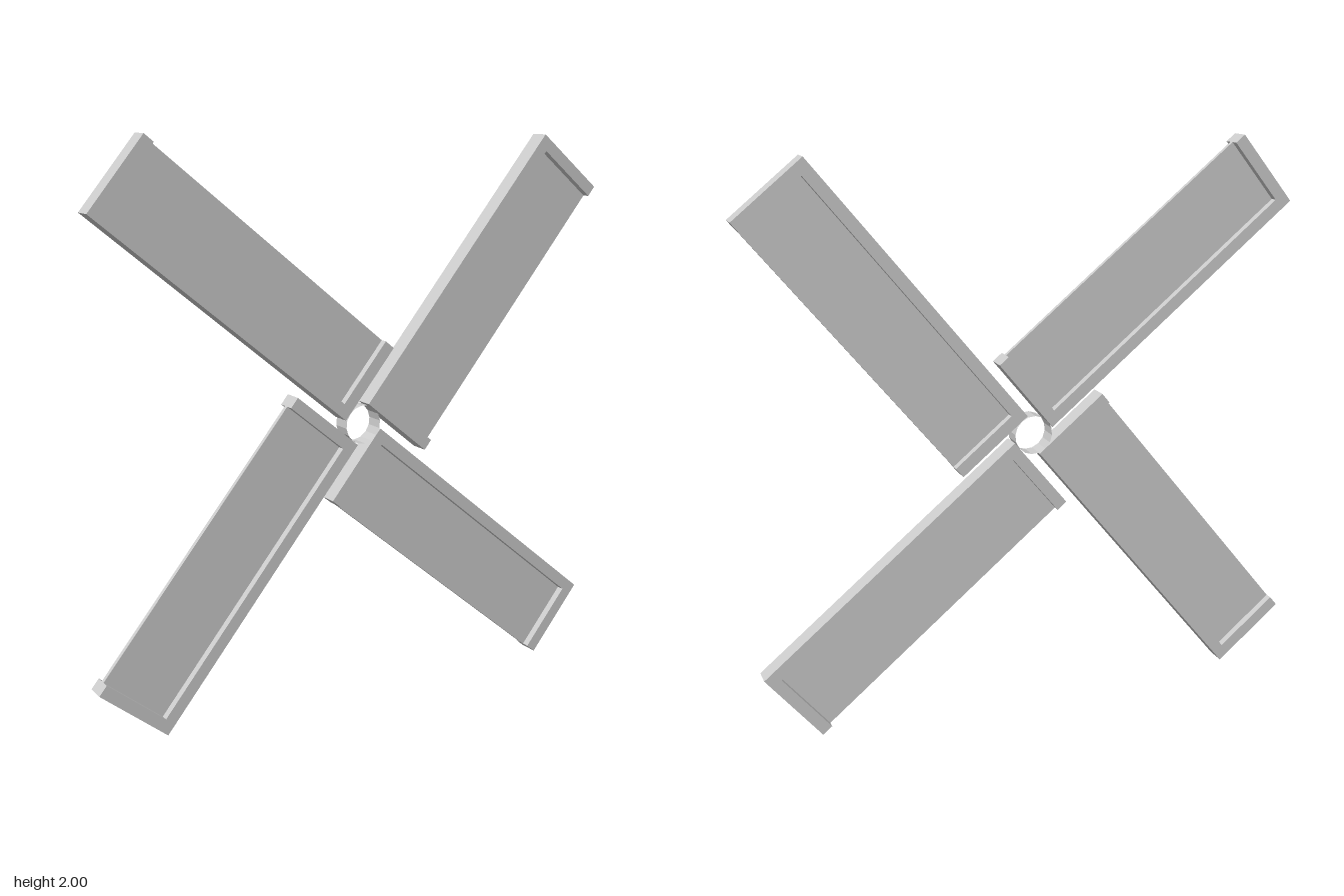
import * as THREE from 'three';

const DEPTH = 0.07;            // rim and hub depth
const RIM = 0.042;             // rim width
const U0 = 0.068, U1 = 1.237;  // sail extent along its arm
const V0 = -0.277, V1 = 0.027; // sail extent across its arm
const CENTER_Y = 1.005;

const material = new THREE.MeshStandardMaterial({ color: 0xcccccc, flatShading: true });
const thinMaterial = new THREE.MeshStandardMaterial({ color: 0xcccccc, flatShading: true, side: THREE.DoubleSide });

// Box given by its extents in the sail plane
function plate(name, u0, u1, v0, v1, depth) {
  const mesh = new THREE.Mesh(new THREE.BoxGeometry(u1 - u0, v1 - v0, depth), material);
  mesh.position.set((u0 + u1) / 2, (v0 + v1) / 2, 0);
  mesh.name = name;
  return mesh;
}

// Thin panel with a rim on three sides; the trailing edge stays open
function createSail() {
  const sail = new THREE.Group();
  sail.name = 'sail';
  sail.add(
    plate('panel', U0 + RIM, U1 - RIM, V0, V1 - RIM, 0.016),
    plate('innerRim', U0, U0 + RIM, V0, V1, DEPTH),
    plate('outerRim', U1 - RIM, U1, V0, V1, DEPTH),
    plate('longRim', U0 + RIM, U1 - RIM, V1 - RIM, V1, DEPTH)
  );
  return sail;
}

export function createModel() {
  const model = new THREE.Group();
  model.name = 'windmillSails';

  const rotor = new THREE.Group();
  rotor.name = 'rotor';
  rotor.position.y = CENTER_Y;
  rotor.rotation.z = THREE.MathUtils.degToRad(50.6);
  model.add(rotor);

  // Four sails around the hub
  for (let i = 0; i < 4; i++) {
    const sail = createSail();
    sail.rotation.z = i * Math.PI / 2;
    rotor.add(sail);
  }

  // Open hub ring
  const hub = new THREE.Mesh(new THREE.CylinderGeometry(U0, U0, DEPTH, 16, 1, true), thinMaterial);
  hub.rotation.x = Math.PI / 2;
  hub.name = 'hubRing';
  rotor.add(hub);

  return model;
}
